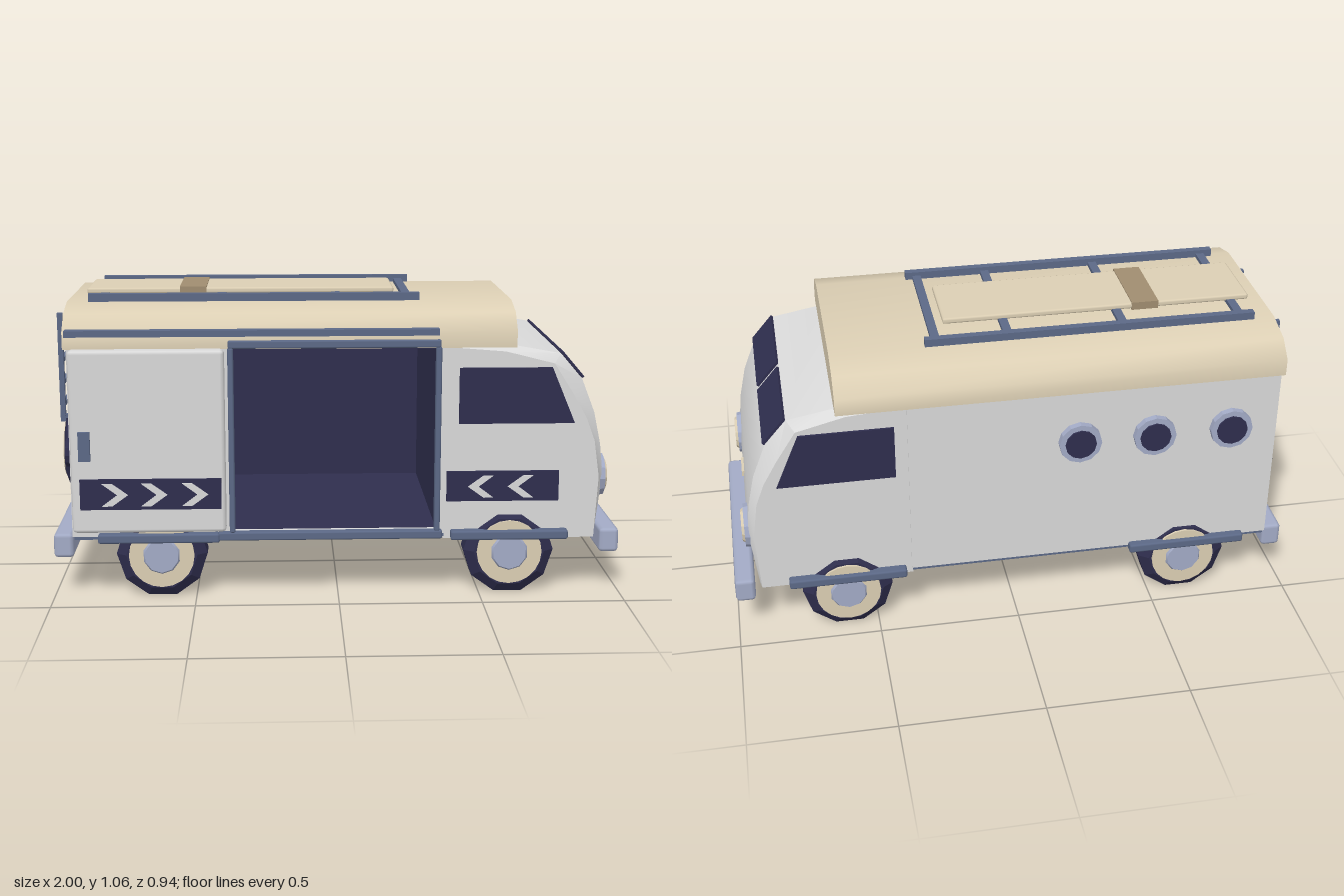
import * as THREE from 'three';
import { toCreasedNormals } from 'three/addons/utils/BufferGeometryUtils.js';
import { RoundedBoxGeometry } from 'three/addons/geometries/RoundedBoxGeometry.js';

const paint = (name, color) => {
  const m = new THREE.MeshStandardMaterial({ color });
  m.name = name;
  return m;
};

export function createModel() {
  const white = paint('white paint', 0xdadada);
  const cream = paint('cream paint', 0xdccfb4);
  const navy = paint('dark navy', 0x2f2e4e);
  const slate = paint('slate blue', 0x5c6987);
  const steel = paint('pale steel', 0xa3abc6);
  const brown = paint('brown strap', 0xa08d70);

  const model = new THREE.Group();
  model.name = 'camperVan';
  // the van is modelled about its own centre plane; its open door makes the outline uneven
  const van = new THREE.Group();
  van.name = 'van';
  van.position.z = -0.025;
  model.add(van);

  const add = (name, geometry, material, parent = van) => {
    const mesh = new THREE.Mesh(geometry, material);
    mesh.name = name;
    parent.add(mesh);
    return mesh;
  };
  // box given by its limits, with optional bevel
  const box = (name, mat, x0, x1, y0, y1, z0, z1, bevel = 0, parent = van) => {
    const s = [x1 - x0, y1 - y0, z1 - z0];
    const geo = bevel ? new RoundedBoxGeometry(...s, 1, bevel) : new THREE.BoxGeometry(...s);
    const mesh = add(name, geo, mat, parent);
    mesh.position.set((x0 + x1) / 2, (y0 + y1) / 2, (z0 + z1) / 2);
    return mesh;
  };
  const shape = (pts) => new THREE.Shape(pts.map(([x, y]) => new THREE.Vector2(x, y)));
  const extrude = (s, depth) => new THREE.ExtrudeGeometry(s, { depth, bevelEnabled: false });
  // disc whose axis runs along 'x' or 'z'
  const disc = (name, mat, axis, r, length, x, y, z, sides = 12, rTop = r) => {
    const geo = new THREE.CylinderGeometry(rTop, r, length, sides);
    if (axis === 'x') geo.rotateZ(-Math.PI / 2); else geo.rotateX(Math.PI / 2);
    const mesh = add(name, toCreasedNormals(geo, 0.4), mat);
    mesh.position.set(x, y, z);
    return mesh;
  };

  // body shell, open at the sliding door
  const sideWall = shape([[-0.93, 0.22], [0.375, 0.22], [0.375, 0.9], [-0.93, 0.9]]);
  sideWall.holes.push(new THREE.Path([[-0.365, 0.235], [-0.365, 0.89], [0.343, 0.89], [0.343, 0.235]]
    .map(([x, y]) => new THREE.Vector2(x, y))));
  add('doorSideWall', extrude(sideWall, 0.025), white).position.z = 0.39;
  box('farSideWall', white, -0.93, 0.375, 0.22, 0.9, -0.415, -0.39);
  box('rearWall', white, -0.93, -0.905, 0.22, 0.9, -0.39, 0.39);
  box('frontWall', white, 0.355, 0.375, 0.22, 0.9, -0.39, 0.39);
  box('underfloor', slate, -0.925, 0.372, 0.208, 0.228, -0.41, 0.41);

  // interior lining
  box('interiorFloor', navy, -0.905, 0.355, 0.228, 0.236, -0.39, 0.39);
  box('interiorCeiling', navy, -0.905, 0.355, 0.876, 0.885, -0.39, 0.39);
  box('interiorFarWall', navy, -0.905, 0.355, 0.236, 0.876, -0.39, -0.382);
  box('interiorRearWall', navy, -0.905, -0.897, 0.236, 0.876, -0.382, 0.39);
  box('interiorFrontWall', navy, 0.345, 0.355, 0.236, 0.876, -0.382, 0.39);

  // cab, lofted across the width with narrower side profiles
  const full = [[0.37, 0.2], [0.912, 0.2], [0.937, 0.42], [0.925, 0.53], [0.9, 0.645],
    [0.853, 0.765], [0.776, 0.855], [0.615, 0.884], [0.37, 0.893]];
  const inset = [[0.37, 0.2], [0.905, 0.2], [0.917, 0.42], [0.898, 0.55], [0.868, 0.63],
    [0.82, 0.715], [0.75, 0.825], [0.58, 0.868], [0.37, 0.885]];
  const sections = [[-0.41, inset], [-0.375, full], [0.375, full], [0.41, inset]];
  const n = full.length, verts = [], index = [];
  sections.forEach(([z, pts]) => pts.forEach(([x, y]) => verts.push(x, y, z)));
  for (let s = 0; s < 3; s++) for (let i = 0; i < n; i++) {
    const a = s * n + i, b = s * n + (i + 1) % n;
    index.push(a, b, b + n, a, b + n, a + n);
  }
  THREE.ShapeUtils.triangulateShape(inset.map(([x, y]) => new THREE.Vector2(x, y)), [])
    .forEach(([a, b, c]) => index.push(c, b, a, 3 * n + a, 3 * n + b, 3 * n + c));
  const cab = new THREE.BufferGeometry();
  cab.setAttribute('position', new THREE.Float32BufferAttribute(verts, 3));
  cab.setIndex(index);
  add('cab', toCreasedNormals(cab.toNonIndexed(), 0.5), white);

  // cab glass
  const sideGlass = shape([[0.42, 0.615], [0.825, 0.615], [0.742, 0.812], [0.42, 0.812]]);
  for (const side of [1, -1]) {
    add('sideWindow', extrude(sideGlass, 0.009), navy).position.z = side > 0 ? 0.409 : -0.418;
    const glass = add('windscreen', new THREE.BoxGeometry(0.117, 0.009, 0.36), navy);
    glass.position.set(0.819, 0.814, side * 0.196);
    glass.rotation.z = Math.atan2(-0.09, 0.077);
  }

  // raised roof
  const half = [[0.428, 0.885], [0.428, 0.945], [0.37, 1.0], [0.262, 1.028]];
  const roofShape = shape([...half, ...half.map(([x, y]) => [-x, y]).reverse()]);
  const roof = extrude(roofShape, 1.555);
  roof.rotateY(Math.PI / 2);
  add('roof', toCreasedNormals(roof, 0.85), cream).position.x = -0.94;

  // roof rack with strapped board
  for (const z of [-0.258, 0.258]) box('rackRail', slate, -0.865, 0.29, 1.028, 1.055, z - 0.013, z + 0.013);
  for (const x of [-0.82, -0.405, 0, 0.25]) box('rackBar', slate, x - 0.015, x + 0.015, 1.025, 1.042, -0.258, 0.258);
  box('roofBoard', cream, -0.885, 0.21, 1.036, 1.058, -0.137, 0.13, 0.008);
  box('boardStrap', brown, -0.555, -0.46, 1.034, 1.062, -0.14, 0.135);

  // door frame, rail and sill
  box('doorRail', slate, -0.93, 0.345, 0.932, 0.954, 0.42, 0.455);
  box('doorFrameTop', slate, -0.378, 0.353, 0.887, 0.915, 0.405, 0.44, 0.006);
  for (const x of [-0.37, 0.346]) box('doorFramePost', slate, x - 0.01, x + 0.01, 0.235, 0.89, 0.405, 0.44, 0.006);
  box('doorSill', slate, -0.42, 0.365, 0.207, 0.237, 0.405, 0.44, 0.006);

  // slid-back door with stripe and handle
  box('slidingDoor', white, -0.92, -0.39, 0.25, 0.89, 0.43, 0.48, 0.014);
  box('doorStripe', navy, -0.89, -0.405, 0.337, 0.445, 0.478, 0.487);
  box('doorHandle', slate, -0.89, -0.85, 0.51, 0.612, 0.478, 0.494);
  box('cabStripe', navy, 0.38, 0.775, 0.337, 0.445, 0.409, 0.418);
  const chevron = extrude(shape([[-0.045, 0.04], [-0.01, 0.04], [0.045, 0], [-0.01, -0.04], [-0.045, -0.04], [0.008, 0]]), 0.004);
  for (const [x, z, turn] of [[-0.77, 0.487, 0], [-0.635, 0.487, 0], [-0.495, 0.487, 0],
    [0.5, 0.418, Math.PI], [0.64, 0.418, Math.PI]]) {
    const mark = add('chevron', chevron, white);
    mark.position.set(x, 0.39, z);
    mark.rotation.z = turn;
  }

  // portholes on the closed side
  for (const x of [-0.76, -0.485, -0.22]) {
    disc('portholeRim', steel, 'z', 0.075, 0.03, x, 0.69, -0.424);
    disc('portholeGlass', navy, 'z', 0.055, 0.008, x, 0.69, -0.441);
  }

  // running boards
  for (const s of [1, -1]) for (const [a, b] of [[-0.84, -0.415], [0.395, 0.81]]) {
    const [z0, z1] = s > 0 ? [0.4, 0.443] : [-0.443, -0.4];
    box('runningBoard', slate, a, b, 0.2, 0.234, z0, z1, 0.008);
  }

  // bumpers and front details
  box('frontBumper', steel, 0.93, 1.0, 0.138, 0.226, -0.4, 0.4, 0.014);
  box('rearBumper', steel, -1.0, -0.93, 0.138, 0.226, -0.4, 0.4, 0.014);
  box('frontPlate', slate, 0.905, 0.938, 0.27, 0.343, -0.173, 0.173, 0.008);
  box('noseTrim', cream, 0.925, 0.942, 0.437, 0.457, -0.047, 0.047);
  for (const z of [-0.31, 0.31]) {
    disc('headlightRim', steel, 'x', 0.083, 0.045, 0.925, 0.405, z, 12, 0.075);
    disc('headlightLens', cream, 'x', 0.064, 0.012, 0.951, 0.405, z, 12, 0.055);
    disc('tailLight', navy, 'x', 0.052, 0.025, -0.94, 0.5, z);
  }

  // wheels: ten-sided tyre, pale wall and hub
  const tyreGeo = new THREE.LatheGeometry([[0, -0.06], [0.125, -0.06], [0.16, -0.035], [0.16, 0.035], [0.125, 0.06], [0, 0.06]]
    .map(([x, y]) => new THREE.Vector2(x, y)), 10, Math.PI / 10);
  const tyre = toCreasedNormals(tyreGeo.rotateX(Math.PI / 2), 0.1);
  const wheel = (name, x, y, z, turn) => {
    const g = new THREE.Group();
    g.name = name;
    add('tyre', tyre, navy, g);
    add('whiteWall', new THREE.CylinderGeometry(0.115, 0.115, 0.02, 20).rotateX(Math.PI / 2), cream, g).position.z = 0.058;
    add('hub', new THREE.CylinderGeometry(0.06, 0.075, 0.02, 10).rotateX(Math.PI / 2), steel, g).position.z = 0.066;
    g.position.set(x, y, z);
    g.rotation.y = turn;
    van.add(g);
    return g;
  };
  for (const x of [-0.62, 0.605]) {
    wheel('leftWheel', x, 0.152, 0.36, 0);
    wheel('rightWheel', x, 0.152, -0.36, Math.PI);
  }
  wheel('spareWheel', -0.962, 0.448, 0, -Math.PI / 2).scale.set(0.93, 0.93, 0.48);

  // rear ladder
  for (const z of [-0.205, 0.205]) {
    box('ladderUpright', slate, -0.984, -0.966, 0.59, 0.98, z - 0.009, z + 0.009);
    for (const y of [0.61, 0.93]) box('ladderBracket', slate, -0.97, -0.925, y - 0.008, y + 0.008, z - 0.008, z + 0.008);
  }
  for (const y of [0.65, 0.73, 0.81, 0.89]) box('ladderRung', slate, -0.982, -0.968, y - 0.008, y + 0.008, -0.2, 0.2);

  return model;
}
